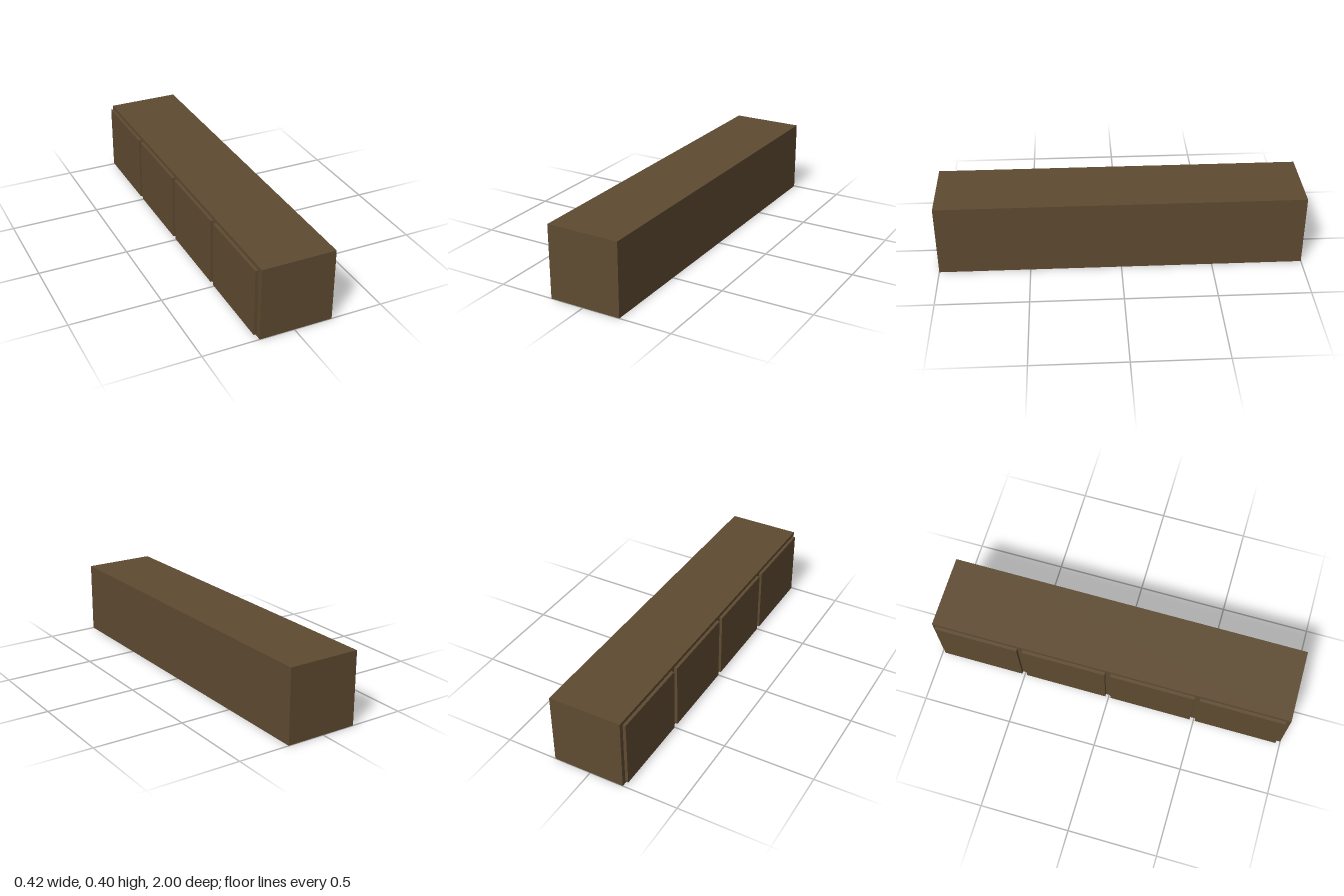
import * as THREE from 'three';

export function createModel() {
  const group = new THREE.Group();
  group.name = 'sideboard';
  const wood = new THREE.MeshStandardMaterial({ color: 0x5e4a30 });

  // Adds a box given its minimum and maximum corners
  const addBox = (name, [x0, y0, z0], [x1, y1, z1]) => {
    const mesh = new THREE.Mesh(new THREE.BoxGeometry(x1 - x0, y1 - y0, z1 - z0), wood);
    mesh.position.set((x0 + x1) / 2, (y0 + y1) / 2, (z0 + z1) / 2);
    mesh.name = name;
    group.add(mesh);
  };

  // Cabinet body
  addBox('cabinetBody', [-0.192, 0, -1], [0.212, 0.404, 1]);

  // Row of four door panels, set just off the body on the -x side
  const doorLength = 0.466, pitch = 0.496;
  for (let i = 0; i < 4; i++) {
    const z = -0.98 + i * pitch;
    addBox(`door${i + 1}`, [-0.212, 0.016, z], [-0.195, 0.389, z + doorLength]);
  }

  return group;
}
